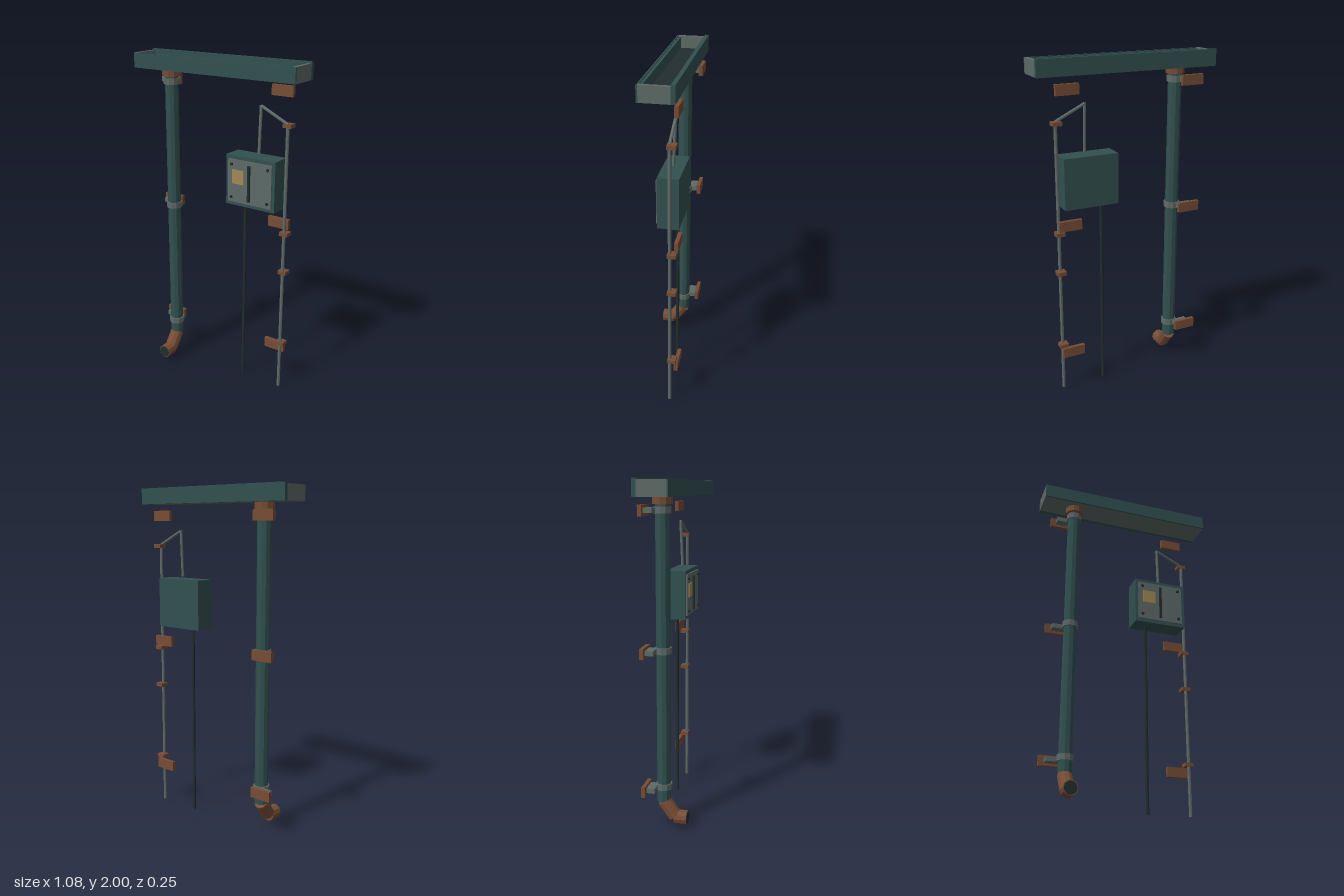
import * as THREE from 'three';

const mat = (name, color) => {
  const m = new THREE.MeshStandardMaterial({ color });
  m.name = name;
  return m;
};

export function createModel() {
  const model = new THREE.Group();
  model.name = 'gutterAndUtilityBox';
  const teal = mat('darkTeal', 0x325150);
  const grey = mat('greyMetal', 0x5e6a67);
  const brown = mat('rustBrown', 0x774d35);
  const dark = mat('nearBlack', 0x222d2d);
  const tan = mat('tanLabel', 0xa08a55);

  const add = (name, geo, material) => {
    const mesh = new THREE.Mesh(geo, material);
    mesh.name = name;
    model.add(mesh);
    return mesh;
  };
  // Box given by its minimum and maximum on each axis
  const box = (name, material, [x0, x1], [y0, y1], [z0, z1]) =>
    add(name, new THREE.BoxGeometry(x1 - x0, y1 - y0, z1 - z0), material)
      .position.set((x0 + x1) / 2, (y0 + y1) / 2, (z0 + z1) / 2);
  // Faceted rod between two points
  const rod = (name, material, from, to, radius, sides = 10) => {
    const a = new THREE.Vector3(...from), b = new THREE.Vector3(...to);
    const dir = b.clone().sub(a);
    const geo = new THREE.CylinderGeometry(radius, radius, dir.length(), sides, 1, false, Math.PI / sides).toNonIndexed();
    geo.computeVertexNormals();
    const mesh = add(name, geo, material);
    mesh.position.copy(a).add(b).multiplyScalar(0.5);
    mesh.quaternion.setFromUnitVectors(new THREE.Vector3(0, 1, 0), dir.normalize());
  };

  // Gutter trough, open at the top
  box('gutterFloor', grey, [-0.52, 0.52], [1.905, 1.914], [-0.1, 0.06]);
  box('gutterLiner', dark, [-0.52, 0.52], [1.914, 1.92], [-0.1, 0.043]);
  box('gutterBack', teal, [-0.542, 0.542], [1.905, 2], [-0.123, -0.1]);
  box('gutterFrontInner', teal, [-0.52, 0.52], [1.914, 1.985], [0.043, 0.06]);
  box('gutterFront', teal, [-0.542, 0.542], [1.905, 1.99], [0.06, 0.069]);
  for (const s of [-1, 1]) {
    box('gutterEndCap', grey, [s * 0.531 - 0.011, s * 0.531 + 0.011], [1.905, 1.992], [-0.1, 0.06]);
  }

  // Downpipe with collar, elbow and outlet
  const px = -0.333, pz = -0.02;
  rod('downpipe', teal, [px, 0.165, pz], [px, 1.88, pz], 0.04);
  rod('pipeCollar', brown, [px, 1.865, pz], [px, 1.906, pz], 0.055);
  rod('elbow', brown, [px, 0.165, pz], [px, 0.075, 0.045], 0.042);
  rod('outlet', brown, [px, 0.07, 0.045], [px, 0.07, 0.119], 0.042);
  rod('outletOpening', dark, [px, 0.07, 0.117], [px, 0.07, 0.122], 0.037);

  // Wall brackets at three heights, with pipe clamps on the right side
  for (const y of [1.835, 1.07, 0.26]) {
    rod('pipeClamp', grey, [px, y - 0.018, pz], [px, y + 0.018, pz], 0.048);
    box('clampArm', grey, [-0.434, -0.34], [y - 0.014, y + 0.014], [-0.099, -0.05]);
    box('pipeBracket', brown, [-0.465, -0.33], [y - 0.03, y + 0.03], [-0.12, -0.098]);
    box('conduitBracket', brown, [0.305, 0.44], [y - 0.03, y + 0.03], [-0.12, -0.098]);
  }

  // Conduit with a bent top dropping towards the box
  const cx = 0.43, cz = -0.072;
  rod('conduit', grey, [cx, 0, cz], [cx, 1.66, cz], 0.01, 8);
  rod('conduitSlope', grey, [cx, 1.66, cz], [0.257, 1.745, cz], 0.009, 8);
  rod('conduitDrop', grey, [0.257, 1.748, cz], [0.257, 1.475, -0.06], 0.009, 8);
  for (const y of [1.653, 1.02, 0.778, 0.303]) {
    box('conduitClip', brown, [0.403, 0.456], [y - 0.011, y + 0.011], [-0.11, -0.06]);
  }
  rod('groundCable', dark, [0.165, 0, -0.07], [0.165, 1.17, -0.07], 0.0095, 8);

  // Utility box with door, label, handle and screws
  box('utilityBox', teal, [0.077, 0.403], [1.163, 1.46], [-0.118, 0.003]);
  box('boxDoor', grey, [0.095, 0.385], [1.184, 1.438], [0.003, 0.011]);
  box('doorLabel', tan, [0.124, 0.205], [1.296, 1.379], [0.011, 0.016]);
  box('doorHandle', dark, [0.232, 0.246], [1.202, 1.415], [0.011, 0.022]);
  for (const x of [0.12, 0.361]) {
    for (const y of [1.213, 1.41]) {
      rod('doorScrew', dark, [x, y, 0.01], [x, y, 0.018], 0.009, 8);
    }
  }
  return model;
}
